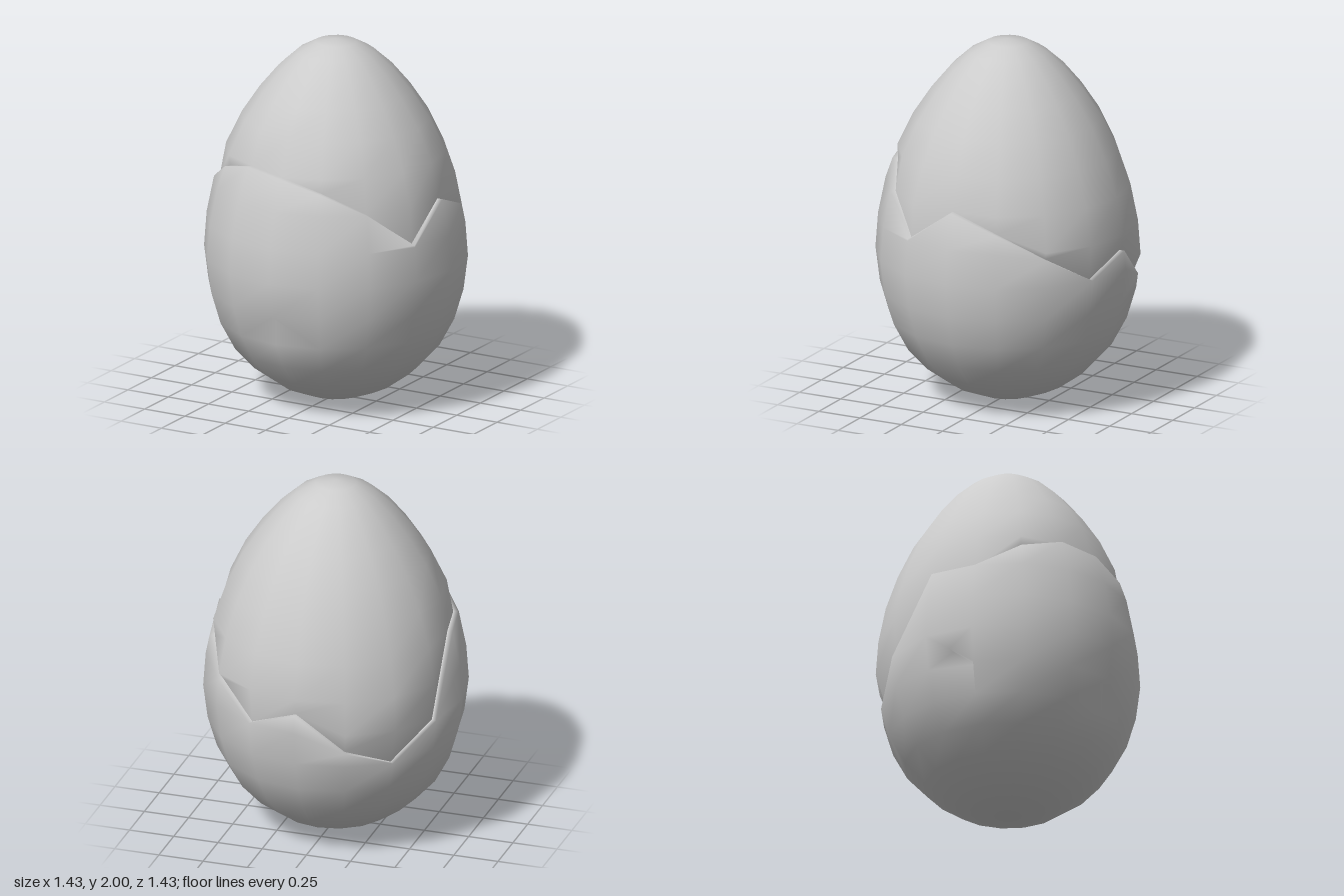
import * as THREE from 'three';
import { mergeVertices } from 'three/addons/utils/BufferGeometryUtils.js';

const SIDES = 16;
// egg silhouette: radius, height
const PROFILE = [[0, 0], [0.16, 0.02], [0.31, 0.08], [0.45, 0.18], [0.56, 0.3], [0.64, 0.45],
  [0.69, 0.62], [0.714, 0.81], [0.7, 1.0], [0.66, 1.2], [0.595, 1.39], [0.51, 1.57],
  [0.41, 1.72], [0.31, 1.84], [0.21, 1.93], [0.11, 1.985], [0, 2]];
// crack height at each side, going round from the front towards +x
const CRACK = [1.37, 1.31, 1.2, 1.01, 1.2, 1.1, 0.96, 0.81, 0.91, 0.7, 0.605, 0.79, 1.2, 1.2, 1.33, 1.39];
const LEDGE = 0.03;

const crackAt = (col) => CRACK[(col + SIDES) % SIDES];

function radiusAt(y) {
  for (let i = 1; i < PROFILE.length; i++) {
    const [r0, y0] = PROFILE[i - 1], [r1, y1] = PROFILE[i];
    if (y <= y1) return r0 + (r1 - r0) * (y - y0) / (y1 - y0);
  }
  return 0;
}

// point on the egg surface, optionally sunk inwards
function point(col, y, sink = 0) {
  const a = ((col + SIDES) % SIDES) * Math.PI * 2 / SIDES;
  const r = Math.max(radiusAt(y) - sink, 0);
  return new THREE.Vector3(Math.sin(a) * r, y, Math.cos(a) * r);
}

const sunk = (p, d) => new THREE.Vector3(p.x, 0, p.z).normalize().multiplyScalar(-d).add(p);

// collects triangles, dropping collapsed ones, and welds them smooth
class Skin {
  constructor() { this.data = []; }
  tri(a, b, c) {
    const area = b.clone().sub(a).cross(c.clone().sub(a)).length();
    if (area > 1e-6) for (const p of [a, b, c]) this.data.push(p.x, p.y, p.z);
  }
  quad(bl, br, tr, tl) { this.tri(bl, br, tr); this.tri(bl, tr, tl); }
  mesh(name) {
    let g = new THREE.BufferGeometry();
    g.setAttribute('position', new THREE.Float32BufferAttribute(this.data, 3));
    g = mergeVertices(g, 1e-4);
    g.computeVertexNormals();
    const m = new THREE.Mesh(g, new THREE.MeshStandardMaterial({ color: 0xcccccc, side: THREE.DoubleSide }));
    m.name = name;
    return m;
  }
}

function lowerShell() {
  const s = new Skin();
  const at = (col, row) => point(col, Math.min(PROFILE[row][1], crackAt(col)));
  for (let col = 0; col < SIDES; col++) {
    for (let row = 0; row < 10; row++) {
      const bl = at(col, row), br = at(col + 1, row), tr = at(col + 1, row + 1), tl = at(col, row + 1);
      if (row === 5 && col === 15) {
        // front chip, left half: apex pushed in below an overhang
        const deep = sunk(tr, 0.05);
        s.tri(bl, tr, tl);
        s.tri(bl, br, deep);
        s.tri(bl, deep, tr);
      } else if (row === 5 && col === 0) {
        // front chip, right half
        const deep = sunk(tl, 0.05);
        s.tri(br, tr, tl);
        s.tri(bl, br, deep);
        s.tri(br, tl, deep);
      } else if (row === 5 && col === 12) {
        // side chip, lower half
        const deep = sunk(tr, 0.05);
        s.tri(bl, br, tl);
        s.tri(tl, br, deep);
        s.tri(br, tr, deep);
      } else if (row === 6 && col === 12) {
        // side chip, upper half
        const c = bl.clone().add(br).add(tr).add(tl).multiplyScalar(0.25);
        const deep = sunk(c, 0.05), deepR = sunk(br, 0.05);
        s.tri(br, tr, c);
        s.tri(tr, tl, c);
        s.tri(tl, bl, c);
        s.tri(bl, deepR, deep);
        s.tri(bl, deep, c);
        s.quad(deepR, br, c, deep);
      } else s.quad(bl, br, tr, tl);
    }
    // narrow ledge running inwards along the crack
    const y0 = crackAt(col), y1 = crackAt(col + 1);
    s.quad(point(col, y0), point(col + 1, y1), point(col + 1, y1, LEDGE), point(col, y0, LEDGE));
  }
  return s.mesh('lowerShell');
}

function upperShell() {
  const s = new Skin();
  // rows at or under the crack collapse onto its sunken edge
  const at = (col, row) => {
    const y = PROFILE[row][1], c = crackAt(col);
    return y < c + 0.03 ? point(col, c, LEDGE) : point(col, y);
  };
  for (let col = 0; col < SIDES; col++)
    for (let row = 5; row < PROFILE.length - 1; row++)
      s.quad(at(col, row), at(col + 1, row), at(col + 1, row + 1), at(col, row + 1));
  return s.mesh('upperShell');
}

export function createModel() {
  const egg = new THREE.Group();
  egg.name = 'crackedEgg';
  egg.add(lowerShell(), upperShell());
  return egg;
}
